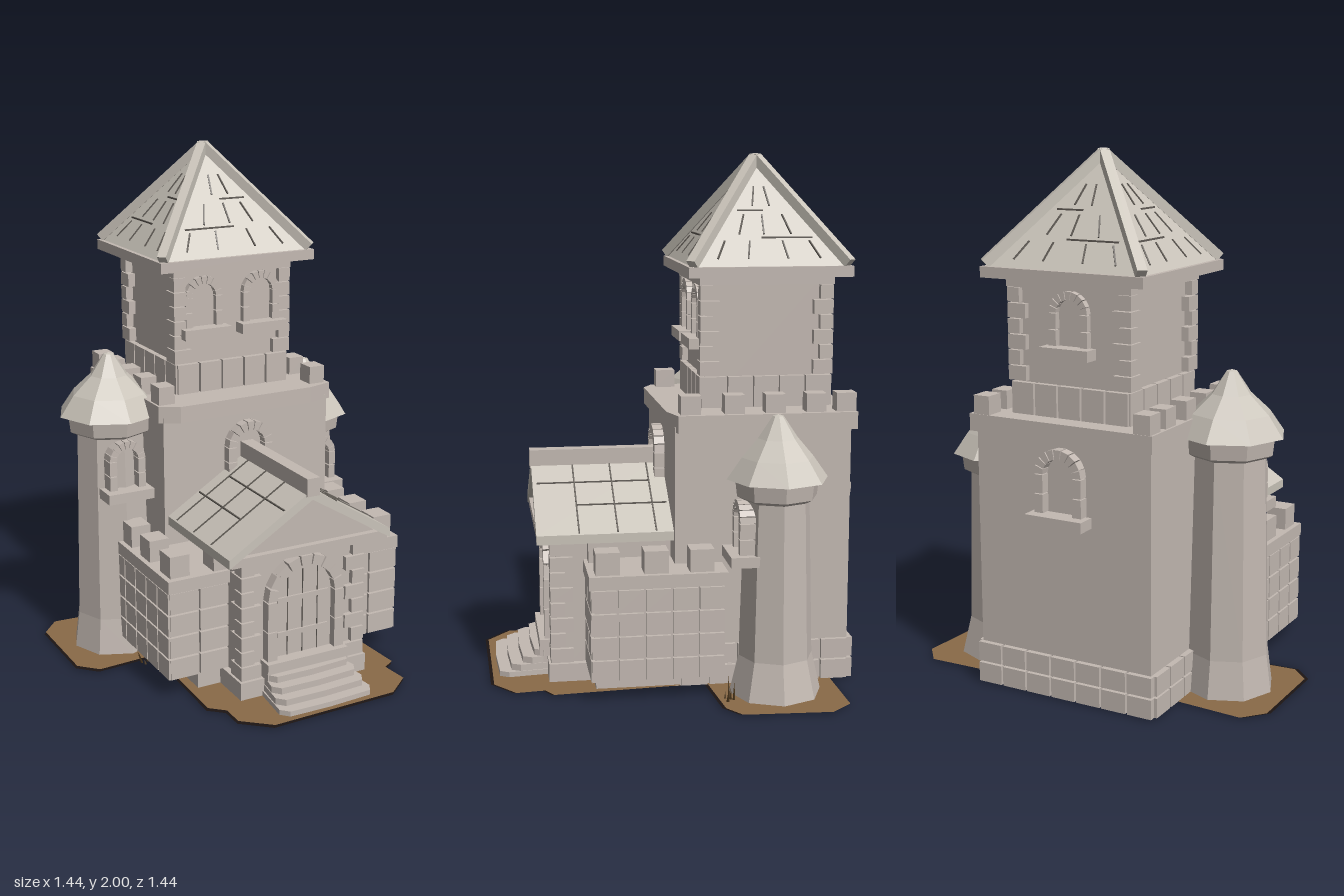
import * as THREE from 'three';

const mat = (name, color, side = THREE.FrontSide) => {
  const m = new THREE.MeshStandardMaterial({ color, side });
  m.name = name;
  return m;
};

export function createModel() {
  const root = new THREE.Group();
  root.name = 'castle';
  const stone = mat('stone', 0xc3b9b2);
  const slate = mat('roofSlate', 0xcac4ba);
  const gapMat = mat('slateGap', 0x625d57);
  const earth = mat('earth', 0x8a6a48, THREE.DoubleSide);
  const shade = mat('darkSoil', 0x1c1514, THREE.DoubleSide);
  const grassMat = mat('dryGrass', 0x4f3a1e);

  const group = (name, parent = root, x = 0, y = 0, z = 0, ry = 0) => {
    const g = new THREE.Group();
    g.name = name;
    g.position.set(x, y, z);
    g.rotation.y = ry;
    parent.add(g);
    return g;
  };
  const add = (name, geo, m = stone, parent = root) => {
    const mesh = new THREE.Mesh(geo, m);
    mesh.name = name;
    parent.add(mesh);
    return mesh;
  };
  // Box given by its limits on each axis
  const box = (name, x0, x1, y0, y1, z0, z1, parent = root, m = stone) => {
    const mesh = add(name, new THREE.BoxGeometry(x1 - x0, y1 - y0, z1 - z0), m, parent);
    mesh.position.set((x0 + x1) / 2, (y0 + y1) / 2, (z0 + z1) / 2);
    return mesh;
  };
  // Square bar between two points
  const bar = (name, a, b, w, h, m, parent = root) => {
    const A = new THREE.Vector3(...a), B = new THREE.Vector3(...b);
    const mesh = add(name, new THREE.BoxGeometry(w, h, A.distanceTo(B)), m, parent);
    mesh.position.copy(A).lerp(B, 0.5);
    mesh.lookAt(B);
    return mesh;
  };
  const extrude = (name, pts, z0, z1, m = stone, parent = root) => {
    const s = new THREE.Shape(pts.map(p => new THREE.Vector2(...p)));
    const mesh = add(name, new THREE.ExtrudeGeometry(s, { depth: z1 - z0, bevelEnabled: false }), m, parent);
    mesh.position.z = z0;
    return mesh;
  };
  // Courses of blocks standing proud of a wall
  const blocks = (name, len, hgt, cols, rows, x, y, z, ry = 0, depth = 0.02) => {
    const g = group(name, root, x, y, z, ry);
    const w = len / cols, h = hgt / rows, e = 0.004;
    for (let r = 0; r < rows; r++) for (let c = 0; c < cols; c++)
      box('block', -len / 2 + c * w + e, -len / 2 + (c + 1) * w - e, r * h + e, (r + 1) * h - e, -0.01, depth, g);
  };
  // Arched surround with wedge stones, jambs and an optional sill; the wall is at local z = 0
  const arch = (name, r, t, h, d, sill, x, y, z, ry = 0) => {
    const g = group(name, root, x, y, z, ry);
    const n = 9;
    for (let i = 0; i < n; i++) {
      const a0 = Math.PI * i / n + 0.02, a1 = Math.PI * (i + 1) / n - 0.02;
      const p = (rad, a) => [rad * Math.cos(a), h + rad * Math.sin(a)];
      extrude('archStone', [p(r, a0), p(r + t, a0), p(r + t, a1), p(r, a1)], -0.03, d, stone, g);
    }
    for (const s of [-1, 1]) for (let k = 0; k < 2; k++) {
      const lo = Math.min(s * r, s * (r + t)), hi = Math.max(s * r, s * (r + t));
      box('jamb', lo, hi, h * k / 2 + 0.002, h * (k + 1) / 2 - 0.002, -0.03, d, g);
    }
    if (sill) box('sill', -r - t - 0.02, r + t + 0.02, -0.04, 0, -0.03, d + 0.035, g);
    return g;
  };

  // Ground patches with a dark underside
  const patch = (pts) => [[earth, 0.005, 0, 0], [shade, 0.002, -0.01, 0.012]].forEach(([m, y, dx, dz]) => {
    const s = new THREE.Shape(pts.map(([x, z]) => new THREE.Vector2(x + dx, -z - dz)));
    const mesh = add('ground', new THREE.ShapeGeometry(s), m);
    mesh.rotation.x = -Math.PI / 2;
    mesh.position.y = y;
  });
  patch([[-0.71, -0.42], [-0.64, -0.5], [-0.33, -0.48], [-0.33, -0.02], [-0.64, 0], [-0.71, -0.07]]);
  patch([[0.33, -0.58], [0.65, -0.59], [0.72, -0.51], [0.7, -0.18], [0.63, -0.13], [0.33, -0.1]]);
  patch([[-0.4, 0], [-0.41, 0.48], [-0.355, 0.53], [-0.355, 0.62], [-0.25, 0.71], [0.27, 0.7],
    [0.37, 0.62], [0.36, 0.51], [0.41, 0.48], [0.38, 0]]);

  // Keep with base courses and a cornice chamfered at the front
  box('keep', -0.36, 0.365, 0, 1, -0.65, 0.02);
  blocks('keepBackBase', 0.75, 0.165, 7, 2, 0, 0, -0.65, Math.PI);
  for (const s of [-1, 1]) blocks('keepSideBase', 0.65, 0.165, 6, 2, s * 0.362, 0, -0.325, s * Math.PI / 2);
  const cornice = extrude('keepCornice', [[-0.375, 0.67], [-0.375, -0.01], [-0.3, -0.05], [0.28, -0.04],
    [0.385, -0.01], [0.385, 0.67]], 0, 0.065);
  cornice.rotation.x = -Math.PI / 2;
  cornice.position.y = 0.98;
  for (const s of [-1, 1]) for (const z of [-0.04, -0.205, -0.36, -0.515, -0.63]) {
    const c = s * 0.333;
    box('keepMerlon', c - 0.033, c + 0.033, 1.045, 1.115, z - 0.038, z + 0.038);
  }
  arch('keepFrontWindow', 0.062, 0.036, 0.12, 0.04, true, 0, 0.73, 0.02);
  arch('keepBackWindow', 0.062, 0.036, 0.145, 0.038, true, 0, 0.713, -0.65, Math.PI);

  // Upper tower
  const tz = -0.347;
  box('upperTower', -0.225, 0.225, 1.04, 1.56, tz - 0.232, tz + 0.232);
  for (let i = 0; i < 4; i++) {
    const side = i % 2;
    const d = side ? 0.225 : 0.232, a = i * Math.PI / 2;
    blocks('towerBase', side ? 0.5 : 0.49, 0.125, 5, 1, Math.sin(a) * d, 1.045, tz + Math.cos(a) * d, a, 0.023);
  }
  for (const sx of [-1, 1]) for (const sz of [-1, 1]) for (let k = 0; k < 6; k++) {
    const w = k % 2 ? 0.05 : 0.075, y = 1.17 + k * 0.057, x = sx * 0.255, z = tz + sz * 0.255;
    box('towerQuoin', Math.min(x, x - sx * w), Math.max(x, x - sx * w), y + 0.002, y + 0.055,
      Math.min(z, z - sz * w), Math.max(z, z - sz * w));
  }
  box('towerFrieze', -0.257, 0.257, 1.512, 1.548, tz - 0.257, tz + 0.257);
  box('towerEaves', -0.333, 0.333, 1.545, 1.585, tz - 0.31, tz + 0.31);
  for (const x of [-0.125, 0.125]) arch('towerFrontWindow', 0.05, 0.03, 0.12, 0.025, true, x, 1.31, tz + 0.232);
  arch('towerBackWindow', 0.05, 0.03, 0.12, 0.025, true, 0, 1.31, tz - 0.232, Math.PI);

  // Pyramid roof, hip beams and slate joints
  const hx = 0.32, hz = 0.297, y0 = 1.58, top = 1.972;
  const pyr = new THREE.ConeGeometry(Math.SQRT2, 1, 4, 1).toNonIndexed();
  pyr.rotateY(Math.PI / 4);
  pyr.computeVertexNormals();
  const towerRoof = add('towerRoof', pyr, slate);
  towerRoof.scale.set(hx, top - y0, hz);
  towerRoof.position.set(0, (top + y0) / 2, tz);
  for (const sx of [-1, 1]) for (const sz of [-1, 1])
    bar('hipBeam', [sx * 0.32, 1.595, tz + sz * 0.297], [0, 1.983, tz], 0.036, 0.036, slate);
  for (let f = 0; f < 4; f++) {
    const P = (u, t) => {
      const k = 1 - t, s = f < 2 ? 1 : -1;
      return f % 2 ? [s * hx * k, y0 + (top - y0) * t + 0.001, tz + u * hz * k]
        : [u * hx * k, y0 + (top - y0) * t + 0.001, tz + s * hz * k];
    };
    const seam = (u0, t0, u1, t1) => bar('slateJoint', P(u0, t0), P(u1, t1), 0.006, 0.006, gapMat);
    for (const u of [-0.7, -0.25, 0.3, 0.72]) seam(u, 0.08, u, 0.24);
    for (const u of [-0.45, 0.05, 0.5]) seam(u, 0.3, u, 0.48);
    for (const u of [-0.2, 0.3]) seam(u, 0.56, u, 0.74);
    seam(-0.8, 0.27, 0.1, 0.27);
    seam(0, 0.52, 0.7, 0.52);
  }

  // Eight-sided corner turrets
  const lathe = (name, pts, m, g) => {
    const geo = new THREE.LatheGeometry(pts.map(p => new THREE.Vector2(...p)), 8).toNonIndexed();
    geo.computeVertexNormals();
    return add(name, geo, m, g);
  };
  const turret = (name, x, z, h, r, sillY) => {
    const g = group(name, root, x, 0, z);
    lathe('shaft', [[0, 0], [0.176, 0], [r + 0.018, 0.15], [r, h - 0.06]], stone, g);
    lathe('collar', [[r, h - 0.08], [r + 0.028, h - 0.065], [r + 0.036, h], [0, h]], stone, g);
    lathe('turretRoof', [[0, h - 0.005], [r + 0.068, h], [r + 0.012, h + 0.08], [0.075, h + 0.15],
      [0.02, h + 0.232], [0, h + 0.238]], slate, g);
    arch(name + 'Window', 0.045, 0.03, 0.12, 0.045, true, x, sillY, z + r - 0.015);
  };
  turret('rightTurret', -0.47, -0.243, 0.978, 0.138, 0.702);
  turret('leftTurret', 0.47, -0.345, 0.822, 0.122, 0.55);

  // Side wings with block facing and merlons
  box('wingPlinth', -0.37, 0.37, 0, 0.08, -0.2, 0.32);
  box('wingCore', -0.49, 0.49, 0.075, 0.45, -0.15, 0.335);
  for (const s of [-1, 1]) {
    blocks('wingSideFacing', 0.5, 0.355, 5, 4, s * 0.49, 0.075, 0.1, s * Math.PI / 2, 0.014);
    blocks('wingFrontFacing', 0.25, 0.355, 2, 4, s * 0.375, 0.075, 0.335, 0, 0.014);
    const a = s * 0.25, b = s * 0.505;
    box('wingParapet', Math.min(a, b), Math.max(a, b), 0.43, 0.48, -0.16, 0.355);
    for (const z of [-0.065, 0.105, 0.285])
      box('wingMerlon', s * 0.445 - 0.04, s * 0.445 + 0.04, 0.48, 0.565, z - 0.045, z + 0.045);
    box('wingMerlon', s * 0.27 - 0.04, s * 0.27 + 0.04, 0.48, 0.56, 0.25, 0.34);
  }

  // Porch with quoins
  box('porch', -0.25, 0.25, 0, 0.58, 0, 0.46);
  box('porchPlinth', -0.275, 0.275, 0, 0.075, 0.3, 0.49);
  for (const s of [-1, 1]) for (let k = 0; k < 8; k++) {
    const w = k % 2 ? 0.055 : 0.085, y = 0.075 + k * 0.06, x = s * 0.268;
    box('porchQuoin', Math.min(x, x - s * w), Math.max(x, x - s * w), y + 0.003, y + 0.057, 0.48 - w, 0.482);
  }

  // Door, surround and steps
  const door = arch('doorSurround', 0.125, 0.04, 0.24, 0.04, false, 0, 0.14, 0.46);
  const leaf = new THREE.Shape();
  leaf.moveTo(-0.125, 0);
  leaf.lineTo(0.125, 0);
  leaf.lineTo(0.125, 0.24);
  leaf.absarc(0, 0.24, 0.125, 0, Math.PI, false);
  add('doorLeaf', new THREE.ExtrudeGeometry(leaf, { depth: 0.008, bevelEnabled: false }), stone, door);
  for (const x of [-0.065, 0, 0.065]) box('plankGap', x - 0.002, x + 0.002, 0, 0.34, 0, 0.01, door, gapMat);
  for (const y of [0.08, 0.22]) box('doorBrace', -0.11, 0.11, y, y + 0.02, 0, 0.016, door);
  box('threshold', -0.175, 0.175, 0, 0.14, 0.45, 0.52);
  for (let k = 0; k < 4; k++) {
    const w = 0.2 - k * 0.008, f = 0.67 - k * 0.045;
    const step = extrude('step', [[-w, -f + 0.02], [-w * 0.85, -f - 0.012], [0, -f - 0.015], [w * 0.9, -f - 0.005],
      [w, -f + 0.03], [w * 0.9, -0.46], [-w * 0.9, -0.46]], 0, 0.025);
    step.rotation.x = -Math.PI / 2;
    step.position.y = k * 0.025;
  }

  // Gabled porch roof with ridge beam, pediment and slate joints
  extrude('porchRoof', [[-0.345, 0.565], [0, 0.775], [0.345, 0.565], [0.345, 0.6], [0, 0.815], [-0.345, 0.6]],
    0.02, 0.535, slate);
  extrude('pediment', [[-0.33, 0.568], [0.33, 0.568], [0, 0.79]], 0.02, 0.505);
  box('pedimentSill', -0.335, 0.335, 0.562, 0.595, 0.46, 0.53);
  box('ridgeBeam', -0.027, 0.027, 0.79, 0.86, 0.02, 0.54);
  for (const s of [-1, 1]) {
    const Q = (t, z) => [s * 0.345 * (1 - t), 0.6 + 0.215 * t, z];
    const seam = (t0, z0, t1, z1) => bar('porchSlateJoint', Q(t0, z0), Q(t1, z1), 0.006, 0.006, gapMat);
    for (const z of [0.085, 0.23, 0.375]) seam(0.02, z, 0.92, z);
    seam(0.38, 0.03, 0.38, 0.375);
    seam(0.68, 0.085, 0.68, 0.52);
  }

  // Dry grass tufts
  const tuft = (x, z, n, spread, h) => {
    const g = group('grassTuft', root, x, 0, z);
    for (let i = 0; i < n; i++) {
      const u = n > 1 ? i / (n - 1) * 2 - 1 : 0, hh = h * (0.6 + 0.4 * Math.cos(i * 2.3));
      const blade = add('blade', new THREE.ConeGeometry(0.006, hh, 3), grassMat, g);
      blade.position.set(u * spread, hh / 2, 0.015 * Math.sin(i * 1.7));
      blade.rotation.z = -u * 0.35;
    }
  };
  tuft(-0.42, 0.02, 8, 0.06, 0.065);
  tuft(0.55, -0.16, 6, 0.03, 0.09);

  return root;
}
